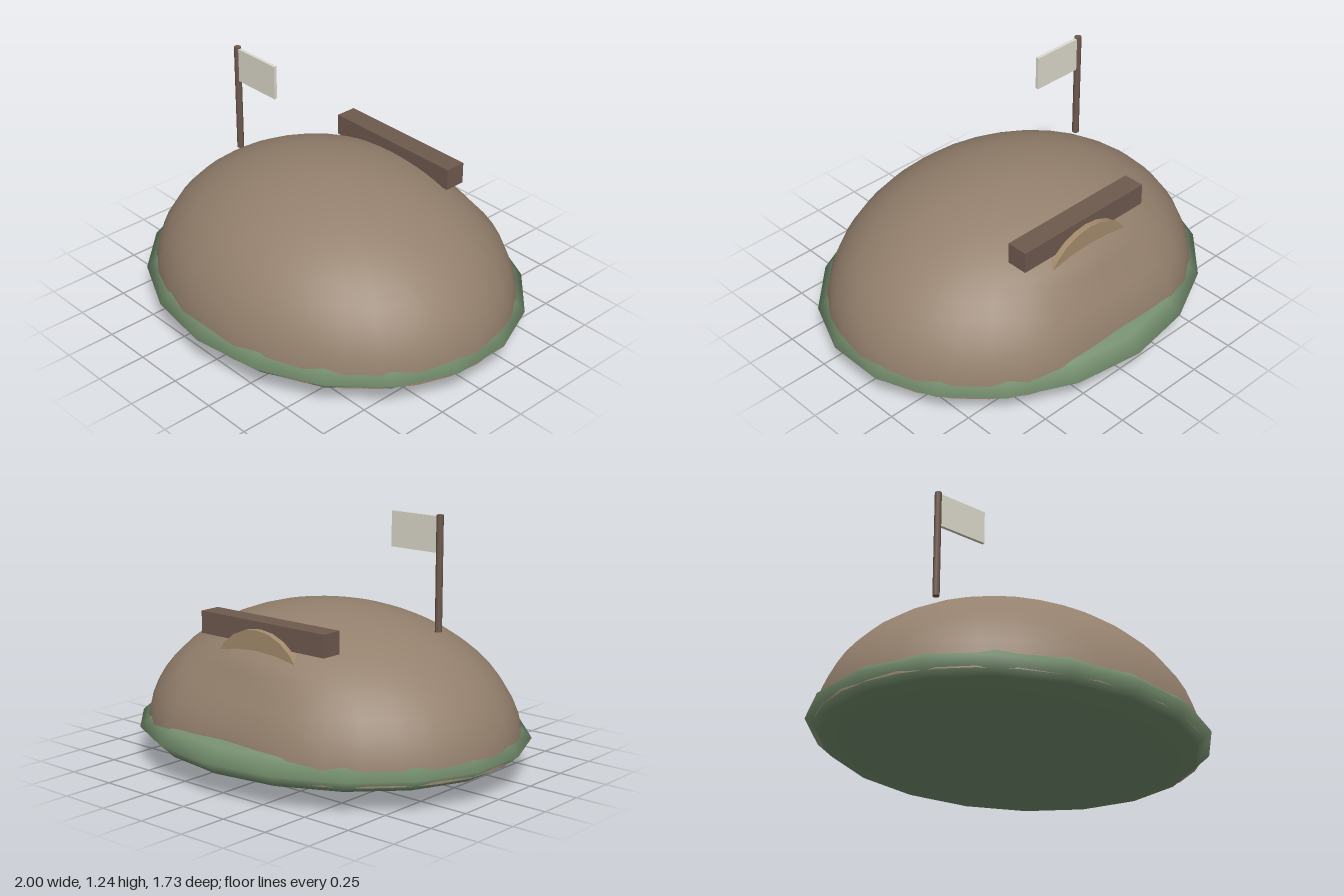
import * as THREE from 'three';
import { mergeVertices } from 'three/addons/utils/BufferGeometryUtils.js';

function part(name, geometry, color, x = 0, y = 0, z = 0) {
  const material = new THREE.MeshStandardMaterial({ color, side: THREE.DoubleSide });
  const mesh = new THREE.Mesh(geometry, material);
  mesh.name = name;
  mesh.position.set(x, y, z);
  return mesh;
}

// Half ellipsoid whose back is pressed in below the lintel
function moundGeometry() {
  let g = new THREE.SphereGeometry(1, 32, 14, 0, Math.PI * 2, 0, Math.PI / 2);
  g.scale(0.975, 0.645, 0.818);
  g.deleteAttribute('uv');
  g.deleteAttribute('normal');
  g = mergeVertices(g);
  const p = g.attributes.position;
  for (let i = 0; i < p.count; i++) {
    if (p.getZ(i) > -0.3) continue;
    const across = Math.max(0, 1 - (p.getX(i) / 0.42) ** 2);
    const down = 1 - THREE.MathUtils.smoothstep(p.getY(i), 0.32, 0.5);
    p.setZ(i, p.getZ(i) + 0.063 * across * down);
  }
  g.computeVertexNormals();
  return g;
}

export function createModel() {
  const group = new THREE.Group();
  const wood = 0x6f5a4e;

  // Grassy foot: a flat ellipsoid with 18 sides
  const foot = new THREE.SphereGeometry(1, 18, 8);
  foot.rotateY(Math.PI / 2);
  foot.scale(1.015, 0.167, 0.863);
  group.add(part('grassFoot', foot, 0x76906f, 0, 0.167, 0));

  // Earth mound
  group.add(part('mound', moundGeometry(), 0x94806d, 0, 0.13, 0));

  // Round door, mostly buried, and the beam above it
  const door = new THREE.CylinderGeometry(0.29, 0.29, 0.11, 24);
  door.rotateX(Math.PI / 2);
  group.add(part('door', door, 0xa48c6c, 0, 0.43, -0.468));
  group.add(part('lintel', new THREE.BoxGeometry(0.77, 0.108, 0.108), wood, 0, 0.699, -0.439));

  // Flag on its pole
  const flag = new THREE.Group();
  flag.name = 'flag';
  flag.position.set(-0.557, 0, 0.115);
  flag.add(part('pole', new THREE.CylinderGeometry(0.017, 0.017, 0.548, 8), wood, 0, 0.961, 0));
  flag.add(part('cloth', new THREE.BoxGeometry(0.262, 0.17, 0.016), 0xddd9cc, 0.146, 1.143, 0));
  group.add(flag);

  return group;
}
